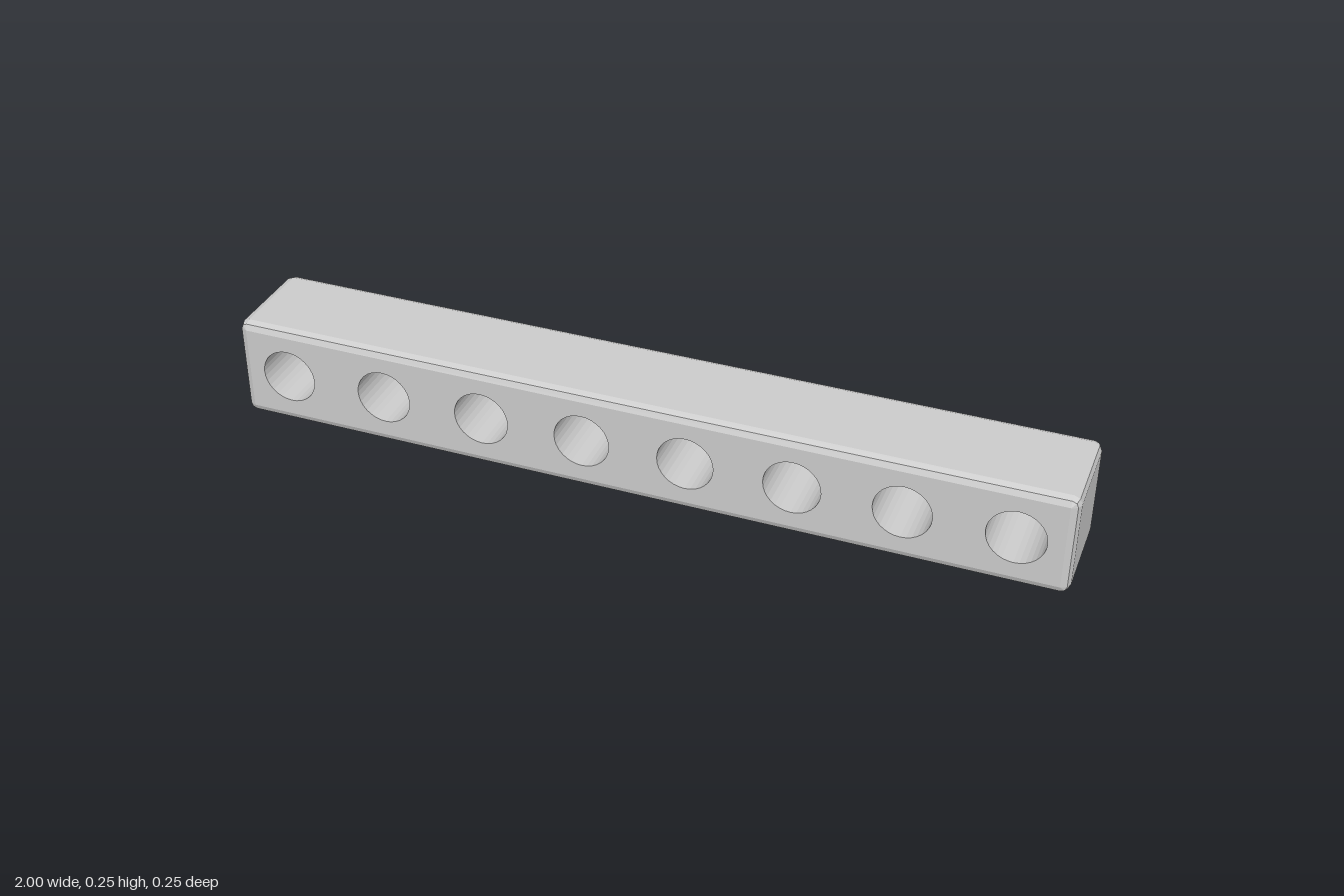
import * as THREE from 'three';

const LENGTH = 2, SIZE = 0.25, ROUND = 0.02, SEGMENTS = 2;
const HOLES = 8, HOLE_RADIUS = 0.067, HOLE_SIDES = 32;
const HX = LENGTH / 2 - ROUND, HY = SIZE / 2 - ROUND, HZ = SIZE / 2 - ROUND;

const material = new THREE.MeshStandardMaterial({ color: 0xcccccc, flatShading: true });
const holeX = Array.from({ length: HOLES }, (_, i) => (i - (HOLES - 1) / 2) * SIZE);

function addPart(group, name, geometry) {
  const mesh = new THREE.Mesh(geometry, material);
  mesh.name = name;
  group.add(mesh);
  return mesh;
}

// Rounded rectangle outline, counterclockwise, at a given corner radius and depth
function outline(radius, z) {
  const points = [];
  [[1, 1], [-1, 1], [-1, -1], [1, -1]].forEach(([sx, sy], corner) => {
    for (let k = 0; k <= SEGMENTS; k++) {
      const a = (corner + k / SEGMENTS) * Math.PI / 2;
      points.push([sx * HX + radius * Math.cos(a), sy * HY + radius * Math.sin(a), z]);
    }
  });
  return points;
}

// Outer walls and rounded edges, lofted from back to front
function shellGeometry() {
  const rings = [];
  for (const side of [-1, 1]) {
    for (let k = 0; k <= SEGMENTS; k++) {
      const a = (side < 0 ? k - SEGMENTS : k) / SEGMENTS * Math.PI / 2;
      const radius = k === (side < 0 ? 0 : SEGMENTS) ? 0 : ROUND * Math.cos(a);
      rings.push(outline(radius, side * HZ + ROUND * Math.sin(a)));
    }
  }
  const positions = [];
  const same = (p, q) => p.every((v, i) => Math.abs(v - q[i]) < 1e-6);
  const triangle = (a, b, c) => {
    if (!same(a, b) && !same(b, c) && !same(c, a)) positions.push(...a, ...b, ...c);
  };
  for (let i = 0; i < rings.length - 1; i++) {
    const back = rings[i], front = rings[i + 1];
    for (let j = 0; j < back.length; j++) {
      const n = (j + 1) % back.length;
      triangle(back[j], back[n], front[n]);
      triangle(back[j], front[n], front[j]);
    }
  }
  const geometry = new THREE.BufferGeometry();
  geometry.setAttribute('position', new THREE.Float32BufferAttribute(positions, 3));
  geometry.computeVertexNormals();
  return geometry;
}

// Flat panel with a row of round openings
function panelGeometry() {
  const shape = new THREE.Shape([[-HX, -HY], [HX, -HY], [HX, HY], [-HX, HY]].map(p => new THREE.Vector2(...p)));
  for (const x of holeX) {
    const points = [];
    for (let k = 0; k < HOLE_SIDES; k++) {
      const a = -k / HOLE_SIDES * Math.PI * 2;
      points.push(new THREE.Vector2(x + HOLE_RADIUS * Math.cos(a), HOLE_RADIUS * Math.sin(a)));
    }
    shape.holes.push(new THREE.Path(points));
  }
  return new THREE.ShapeGeometry(shape).translate(0, 0, SIZE / 2);
}

// Inward-facing bore wall
function boreGeometry() {
  const tube = new THREE.CylinderGeometry(HOLE_RADIUS, HOLE_RADIUS, SIZE, HOLE_SIDES, 1, true);
  const geometry = tube.rotateX(Math.PI / 2).toNonIndexed();
  const p = geometry.attributes.position;
  // Mirroring turns the wall inside out
  for (let i = 0; i < p.count; i++) p.setX(i, -p.getX(i));
  geometry.computeVertexNormals();
  return geometry;
}

export function createModel() {
  const model = new THREE.Group();
  model.name = 'perforatedBeam';
  const beam = new THREE.Group();
  beam.name = 'beam';
  beam.position.y = SIZE / 2;
  model.add(beam);

  addPart(beam, 'outerShell', shellGeometry());
  const panel = panelGeometry();
  addPart(beam, 'frontPanel', panel);
  addPart(beam, 'backPanel', panel).rotation.y = Math.PI;

  const bore = boreGeometry();
  holeX.forEach((x, i) => { addPart(beam, `holeWall${i + 1}`, bore).position.x = x; });
  return model;
}
